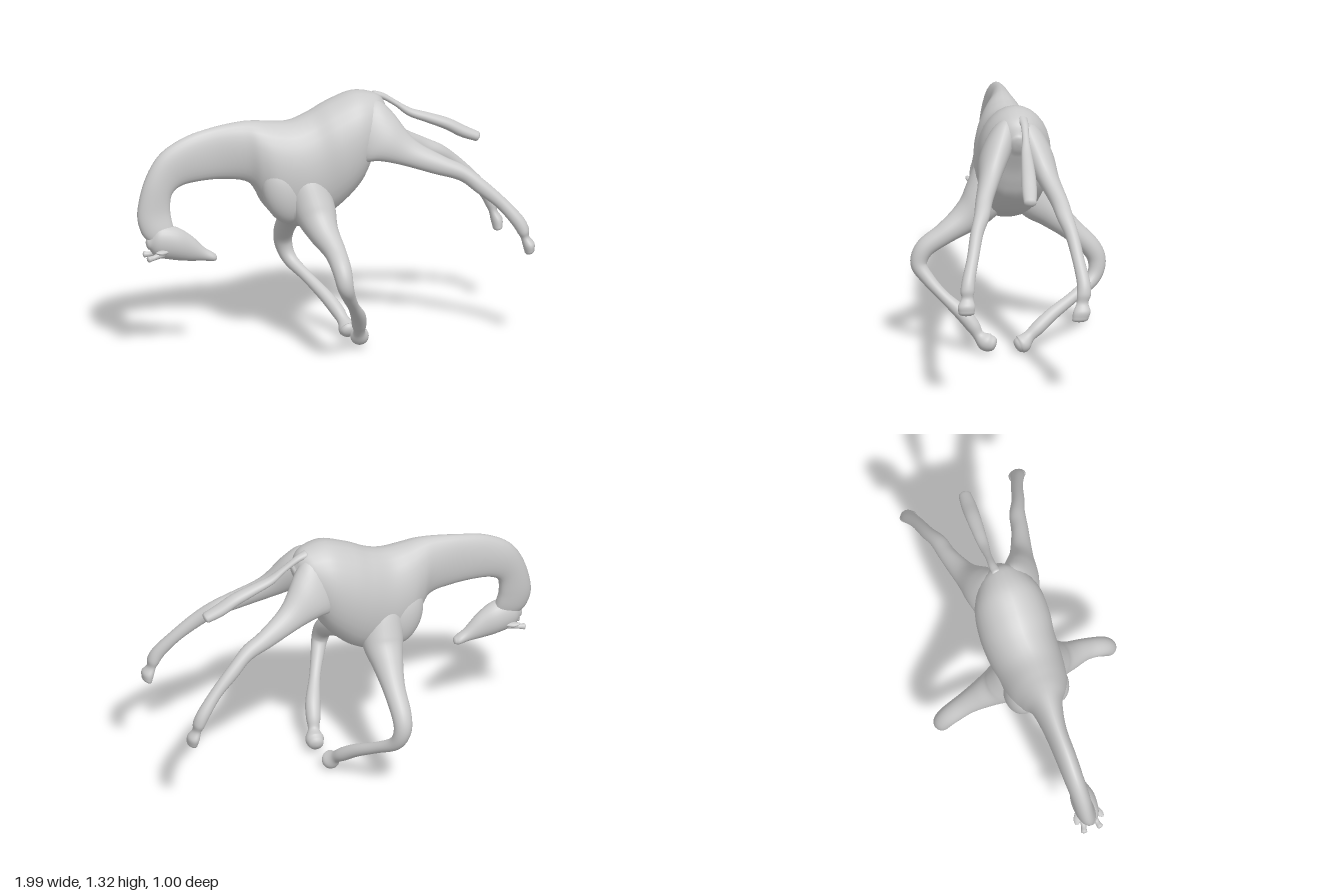
import * as THREE from 'three';

const SIDES = 28, STEPS = 6;
const V = (x, y, z) => new THREE.Vector3(x, y, z);
const material = new THREE.MeshStandardMaterial({ color: 0xcccccc, side: THREE.DoubleSide });

const spline = (points) => new THREE.CatmullRomCurve3(points, false, 'catmullrom', 0.5);

// Shrinking rings that round off the end of a limb, from the end ring outwards.
function roundedEnd(end, inner) {
  const out = end.c.clone().sub(inner.c).normalize();
  const depth = 0.5 * Math.min(end.u.length(), end.v.length());
  return [0.5, 1, 1.4].map((a) => ({
    c: end.c.clone().addScaledVector(out, depth * Math.sin(a)),
    u: end.u.clone().multiplyScalar(Math.cos(a)),
    v: end.v.clone().multiplyScalar(Math.cos(a)),
  }));
}

// Skins a list of rings { c, u, v } and closes both ends.
// The rings are ellipses; a fullness below 1 squares off their lower half.
function skin(name, body, fullness = 1) {
  const n = body.length;
  const rings = [
    ...roundedEnd(body[0], body[1]).reverse(),
    ...body,
    ...roundedEnd(body[n - 1], body[n - 2]),
  ];
  const m = Math.floor(rings.length / 2);
  const along = rings[m + 1].c.clone().sub(rings[m].c);
  const flip = rings[m].u.clone().cross(rings[m].v).dot(along) < 0 ? -1 : 1;
  const pos = [], index = [];
  for (const { c, u, v } of rings) {
    for (let j = 0; j < SIDES; j++) {
      const a = (j / SIDES) * Math.PI * 2;
      const cos = Math.cos(a), sin = Math.sin(a);
      const wide = Math.sign(sin) * Math.abs(sin) ** (cos < 0 ? fullness : 1);
      const p = c.clone().addScaledVector(u, cos).addScaledVector(v, flip * wide);
      pos.push(p.x, p.y, p.z);
    }
  }
  const last = (rings.length - 1) * SIDES, start = rings.length * SIDES;
  for (const r of [rings[0], rings[rings.length - 1]]) pos.push(r.c.x, r.c.y, r.c.z);
  for (let j = 0; j < SIDES; j++) {
    const k = (j + 1) % SIDES;
    for (let i = 0; i < last; i += SIDES) {
      index.push(i + j, i + k, i + SIDES + j, i + k, i + SIDES + k, i + SIDES + j);
    }
    index.push(start, k, j, start + 1, last + j, last + k);
  }
  const g = new THREE.BufferGeometry();
  g.setAttribute('position', new THREE.Float32BufferAttribute(pos, 3));
  g.setIndex(index);
  g.computeVertexNormals();
  const mesh = new THREE.Mesh(g, material);
  mesh.name = name;
  return mesh;
}

// Sections given by an upper and a lower outline point: [x1, y1, x2, y2, z, halfWidth, lean].
// Lean moves the lower point out in z and the upper point in.
function profileLoft(name, rows, fullness) {
  const upper = spline(rows.map(([x, y, , , z, , lean = 0]) => V(x, y, z - lean)));
  const lower = spline(rows.map(([, , x, y, z, , lean = 0]) => V(x, y, z + lean)));
  const width = spline(rows.map((r, i) => V(r[5], i, 0)));
  const n = (rows.length - 1) * STEPS, rings = [];
  for (let i = 0; i <= n; i++) {
    const a = upper.getPoint(i / n), b = lower.getPoint(i / n);
    rings.push({
      c: a.clone().add(b).multiplyScalar(0.5),
      u: a.clone().sub(b).multiplyScalar(0.5),
      v: V(0, 0, width.getPoint(i / n).x),
    });
  }
  return skin(name, rings, fullness);
}

// Round limb along a path of [x, y, z, radius].
function limb(name, rows, flat = 1) {
  const path = spline(rows.map((r) => V(r[0], r[1], r[2])));
  const radius = spline(rows.map((r, i) => V(r[3], i, 0)));
  const n = (rows.length - 1) * STEPS, rings = [];
  let side = Math.abs(path.getTangent(0).x) > 0.7 ? V(0, 1, 0) : V(1, 0.2, 0.1);
  for (let i = 0; i <= n; i++) {
    const t = path.getTangent(i / n), r = radius.getPoint(i / n).x;
    side = side.clone().addScaledVector(t, -side.dot(t)).normalize();
    rings.push({
      c: path.getPoint(i / n),
      u: side.clone().multiplyScalar(r * flat),
      v: t.clone().cross(side).multiplyScalar(r),
    });
  }
  return skin(name, rings);
}

function ellipsoid(name, [x, y, z], [a, b, c], tilt) {
  const mesh = new THREE.Mesh(new THREE.SphereGeometry(1, 28, 18), material);
  mesh.name = name;
  mesh.position.set(x, y, z);
  mesh.scale.set(a, b, c);
  mesh.rotation.z = tilt;
  return mesh;
}

export function createModel() {
  const model = new THREE.Group();
  model.name = 'leapingAnimal';

  // Trunk running into the arched neck
  model.add(profileLoft('bodyAndNeck', [
    [0.31, 1.22, 0.28, 1.11, -0.01, 0.045],
    [0.285, 1.275, 0.23, 1.01, -0.01, 0.1],
    [0.235, 1.307, 0.195, 0.92, -0.01, 0.145],
    [0.13, 1.32, 0.16, 0.85, -0.01, 0.178],
    [0.0, 1.275, 0.09, 0.77, -0.01, 0.188],
    [-0.1, 1.225, 0.0, 0.7, -0.01, 0.18],
    [-0.2, 1.195, -0.13, 0.65, 0, 0.17],
    [-0.3, 1.2, -0.28, 0.7, 0, 0.152],
    [-0.38, 1.21, -0.355, 0.8, 0, 0.118],
    [-0.46, 1.21, -0.42, 0.89, -0.005, 0.08],
    [-0.6, 1.19, -0.55, 0.915, -0.01, 0.056],
    [-0.75, 1.15, -0.68, 0.915, -0.005, 0.052],
    [-0.88, 1.07, -0.77, 0.9, 0, 0.049],
    [-0.96, 0.94, -0.82, 0.86, 0.01, 0.047],
    [-1.0, 0.78, -0.83, 0.78, 0.02, 0.046],
    [-0.985, 0.68, -0.82, 0.71, 0.035, 0.047],
    [-0.94, 0.62, -0.81, 0.66, 0.05, 0.042],
  ], 0.75));
  // Broad chest between the forelegs
  model.add(ellipsoid('chest', [-0.15, 0.775, 0], [0.12, 0.135, 0.18], 0));

  // Head tucked under, jaw uppermost
  const head = new THREE.Group();
  head.name = 'head';
  head.add(profileLoft('skull', [
    [-0.955, 0.65, -0.945, 0.59, 0.05, 0.025],
    [-0.9, 0.71, -0.91, 0.55, 0.05, 0.055],
    [-0.81, 0.7, -0.82, 0.527, 0.052, 0.063],
    [-0.73, 0.65, -0.74, 0.515, 0.054, 0.047],
    [-0.66, 0.58, -0.67, 0.51, 0.055, 0.033],
    [-0.62, 0.552, -0.62, 0.503, 0.055, 0.031],
    [-0.603, 0.54, -0.603, 0.505, 0.055, 0.022],
  ]));
  for (const s of [1, -1]) {
    head.add(limb('horn', [
      [-0.88, 0.57, 0.05 + s * 0.025, 0.02],
      [-0.93, 0.555, 0.05 + s * 0.035, 0.013],
      [-0.96, 0.552, 0.05 + s * 0.043, 0.016],
    ]));
    head.add(limb('ear', [
      [-0.87, 0.585, 0.05 + s * 0.04, 0.02],
      [-0.9, 0.585, 0.05 + s * 0.058, 0.02],
      [-0.925, 0.59, 0.05 + s * 0.07, 0.008],
    ], 0.6));
  }
  model.add(head);

  // Hind legs kicked out behind; the right one hangs a little lower and closer in
  const hind = [
    [0.14, 1.25, 0.12, 1.0, 0.07, 0.06, 0.02],
    [0.24, 1.285, 0.16, 0.985, 0.083, 0.077, 0.04],
    [0.32, 1.22, 0.23, 0.99, 0.107, 0.077, 0.035],
    [0.42, 1.085, 0.34, 0.965, 0.145, 0.058, 0.012],
    [0.56, 1.0, 0.5, 0.915, 0.19, 0.045],
    [0.66, 0.95, 0.63, 0.875, 0.215, 0.041],
    [0.75, 0.88, 0.71, 0.815, 0.25, 0.034],
    [0.85, 0.785, 0.81, 0.735, 0.28, 0.031],
    [0.935, 0.69, 0.88, 0.65, 0.31, 0.034],
    [0.965, 0.63, 0.91, 0.6, 0.32, 0.036],
    [0.967, 0.585, 0.925, 0.575, 0.322, 0.03],
    [0.992, 0.55, 0.935, 0.535, 0.328, 0.044],
    [0.992, 0.515, 0.945, 0.497, 0.328, 0.04],
  ];
  model.add(profileLoft('hindLegLeft', hind));
  model.add(profileLoft('hindLegRight', hind.map(([a, b, c, d, z, w, lean = 0], i) => {
    const t = i / (hind.length - 1);
    return [a - 0.01 * t, b - 0.06 * t, c - 0.01 * t, d - 0.055 * t, -z * (1.12 - 0.36 * t), w, -lean];
  })));

  // Forelegs bowed outward at the knee, hooves drawn together
  model.add(limb('forelegLeft', [
    [-0.16, 0.97, 0.05, 0.085], [-0.13, 0.86, 0.08, 0.105], [-0.1, 0.74, 0.135, 0.105],
    [-0.08, 0.66, 0.22, 0.078], [-0.05, 0.59, 0.33, 0.056], [-0.04, 0.52, 0.43, 0.049],
    [-0.03, 0.44, 0.462, 0.042], [0.0, 0.37, 0.42, 0.034], [0.045, 0.29, 0.345, 0.029],
    [0.092, 0.21, 0.255, 0.038], [0.11, 0.15, 0.205, 0.037], [0.12, 0.1, 0.175, 0.029],
    [0.13, 0.068, 0.14, 0.047], [0.135, 0.055, 0.105, 0.039],
  ]));
  model.add(limb('forelegRight', [
    [-0.17, 0.97, -0.05, 0.085], [-0.145, 0.86, -0.08, 0.105], [-0.13, 0.74, -0.135, 0.105],
    [-0.122, 0.66, -0.22, 0.08], [-0.115, 0.57, -0.32, 0.058], [-0.115, 0.47, -0.42, 0.051],
    [-0.108, 0.39, -0.452, 0.045], [-0.08, 0.31, -0.425, 0.036], [-0.02, 0.245, -0.33, 0.029],
    [0.045, 0.175, -0.21, 0.033], [0.085, 0.12, -0.135, 0.035], [0.105, 0.08, -0.085, 0.031],
    [0.118, 0.048, -0.05, 0.047], [0.122, 0.037, -0.03, 0.039],
  ]));
  for (const s of [1, -1]) {
    model.add(ellipsoid('shoulder', [-0.255, 0.845, s * 0.085], [0.105, 0.17, 0.083], 0.3));
  }

  // Tail with a thicker tuft
  model.add(limb('tail', [
    [0.25, 1.285, -0.035, 0.025], [0.3, 1.27, -0.04, 0.02], [0.37, 1.225, -0.038, 0.018],
    [0.44, 1.175, -0.034, 0.026], [0.53, 1.14, -0.03, 0.032], [0.63, 1.1, -0.025, 0.037],
    [0.71, 1.055, -0.02, 0.038], [0.785, 1.022, -0.015, 0.032],
  ], 0.8));
  return model;
}
